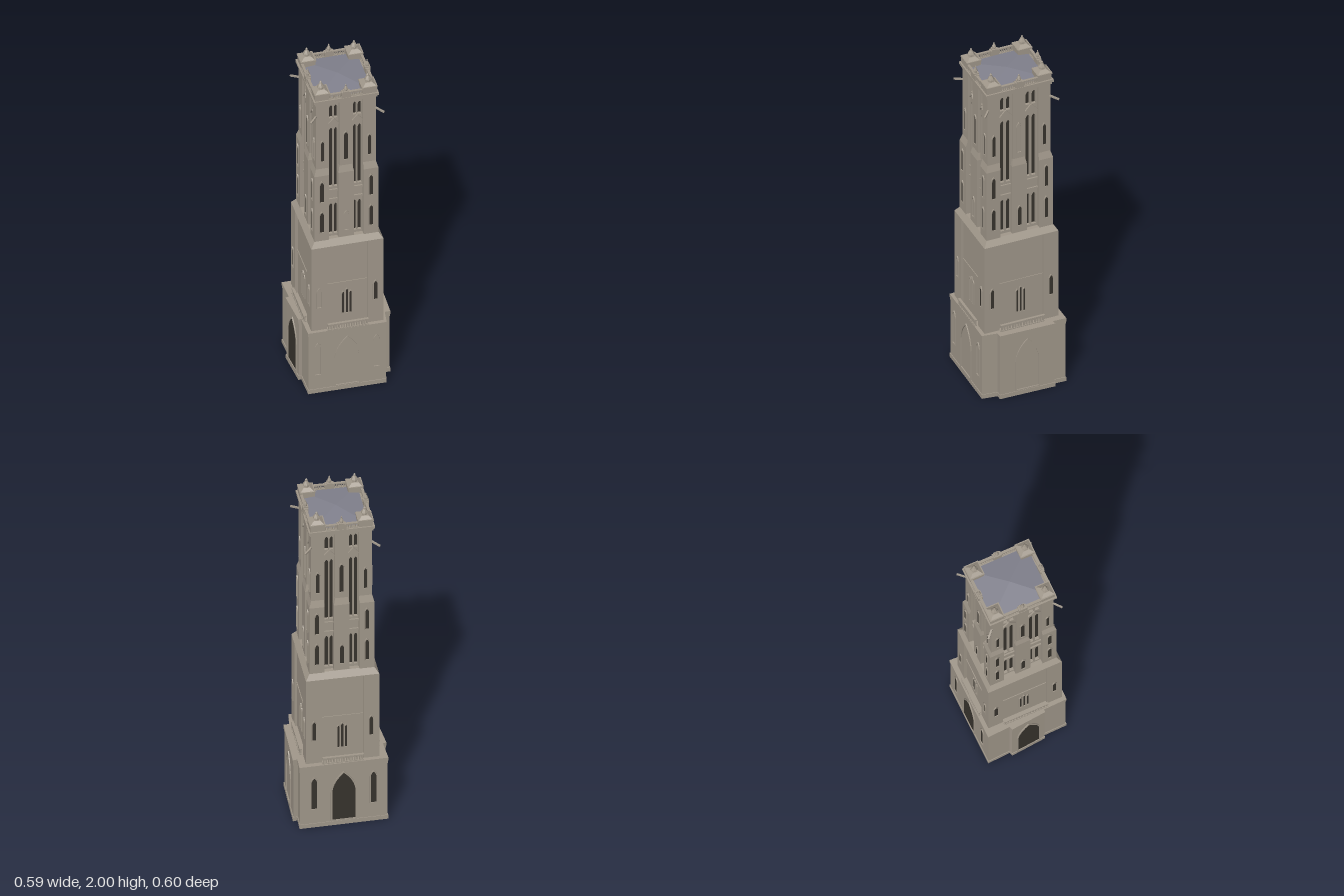
import * as THREE from 'three';

const mat = (name, color) => Object.assign(new THREE.MeshStandardMaterial({ color }), { name });
const stone = mat('stone', 0xa0978a);
const dark = mat('dark opening', 0x37332d);
const slate = mat('roof slate', 0x80808c);

function add(parent, name, geo, material = stone) {
  const m = new THREE.Mesh(geo, material);
  m.name = name;
  parent.add(m);
  return m;
}

// box centred on x, z and standing between y0 and y1
function box(parent, name, w, d, y0, y1, x = 0, z = 0, material = stone) {
  const m = add(parent, name, new THREE.BoxGeometry(w, y1 - y0, d), material);
  m.position.set(x, (y0 + y1) / 2, z);
  return m;
}

// block whose footprint [x0, x1, z0, z1] changes from b at y0 to t at y1
function taper(parent, name, b, t, y0, y1, material = stone) {
  const g = new THREE.BoxGeometry(1, 1, 1), p = g.attributes.position;
  for (let i = 0; i < p.count; i++) {
    const f = p.getY(i) > 0 ? t : b;
    p.setXYZ(i, p.getX(i) > 0 ? f[1] : f[0], p.getY(i) > 0 ? y1 : y0, p.getZ(i) > 0 ? f[3] : f[2]);
  }
  g.computeVertexNormals();
  return add(parent, name, g, material);
}

// pointed arch outline, added to a Shape or a Path
function lancet(path, x, y, w, h) {
  const r = w / 2, spring = y + h - Math.min(w * 0.95, h * 0.5);
  path.moveTo(x - r, y).lineTo(x + r, y).lineTo(x + r, spring);
  path.quadraticCurveTo(x + r * 0.9, (spring + y + h) / 2 + w * 0.08, x, y + h);
  path.quadraticCurveTo(x - r * 0.9, (spring + y + h) / 2 + w * 0.08, x - r, spring);
  path.lineTo(x - r, y);
  return path;
}

const extrude = (shape, depth) => new THREE.ExtrudeGeometry(shape, { depth, bevelEnabled: false, curveSegments: 5 });

// framed pointed window or blind arch on a wall at depth z
function archWindow(parent, name, x, y, w, h, z, open = true, rim = 0.005) {
  const frame = lancet(new THREE.Shape(), x, y - rim, w + rim * 2, h + rim * 2.5);
  frame.holes.push(lancet(new THREE.Path(), x, y, w, h));
  add(parent, name + 'Frame', extrude(frame, 0.006)).position.z = z;
  if (open) add(parent, name + 'Opening', extrude(lancet(new THREE.Shape(), x, y, w, h), 0.002), dark).position.z = z;
}

// frame for one wall: x along the wall from P to Q, z outward
function wall(parent, name, [px, pz], [qx, qz]) {
  const g = new THREE.Group();
  g.name = name;
  g.position.set((px + qx) / 2, 0, (pz + qz) / 2);
  g.rotation.y = Math.atan2(pz - qz, qx - px);
  parent.add(g);
  return g;
}

function balustrade(parent, name, x0, x1, y0, y1, z, count) {
  const mid = (x0 + x1) / 2, w = x1 - x0;
  box(parent, name + 'Rail', w, 0.014, y1 - 0.008, y1, mid, z);
  box(parent, name + 'Sill', w, 0.014, y0, y0 + 0.005, mid, z);
  for (let i = 0; i < count; i++)
    box(parent, name + 'Baluster', w / count * 0.5, 0.008, y0, y1 - 0.004, x0 + (i + 0.5) * w / count, z);
}

// six-sided finial with a collar and a bulging spire
function pinnacle(parent, x, y, z, r, h) {
  const pts = [[0.75, 0], [0.75, 0.2], [1, 0.24], [0.95, 0.34], [0.7, 0.5], [0.35, 0.7], [0.28, 0.8], [0.33, 0.84], [0, 1]]
    .map(([a, b]) => new THREE.Vector2(a * r, b * h));
  const g = new THREE.LatheGeometry(pts, 6).toNonIndexed();
  g.computeVertexNormals();
  add(parent, 'pinnacle', g).position.set(x, y, z);
}

function buildBase(root) {
  // slightly irregular plan with projecting bays on two sides
  const plan = [[-0.225, 0.236], [0.199, 0.24], [0.21, 0.155], [0.241, 0.154], [0.249, -0.16], [0.224, -0.156],
    [0.227, -0.232], [-0.248, -0.226], [-0.242, -0.1], [-0.261, -0.093], [-0.244, 0.104], [-0.228, 0.104]];
  const slab = (name, k, y0, y1) => {
    const s = new THREE.Shape(plan.map(([u, v]) => new THREE.Vector2(u * k, -v * k)));
    add(root, name, extrude(s, y1 - y0).rotateX(-Math.PI / 2)).position.y = y0;
  };
  slab('plinth', 0.998, 0, 0.025);
  slab('baseBody', 0.982, 0.025, 0.365);
  slab('baseMoulding', 0.992, 0.365, 0.38);
  slab('baseCornice', 1, 0.38, 0.4);
  const at = i => plan[i].map(c => c * 0.982);
  [[0, 1, false, true], [3, 4, false, false], [6, 7, true, true], [9, 10, true, false]].forEach(([i, j, open, sides]) => {
    const g = wall(root, 'baseWall', at(i), at(j));
    archWindow(g, 'portal', 0, 0.035, 0.125, 0.3, 0, open, 0.007);
    if (sides) for (const s of [-1, 1]) archWindow(g, 'baseLancet', s * 0.158, 0.12, 0.03, 0.2, 0, open);
  });
}

const rect = (u, v) => [-u, u, -v, v];
const T2 = [0.195, 0.211], T3 = [0.173, 0.1906], T4 = [0.162, 0.179]; // half sizes of the upper stages

// stone screen with three tiers of paired openings
function bay(g, x, w, z) {
  const s = new THREE.Shape();
  s.moveTo(x - w / 2, 0.96).lineTo(x + w / 2, 0.96).lineTo(x + w / 2, 1.88).lineTo(x - w / 2, 1.88);
  for (const k of [-1, 1]) {
    const lw = w * 0.33, lx = x + k * w * 0.22;
    for (const [y, h] of [[0.99, 0.2], [1.3, 0.39], [1.755, 0.085]]) s.holes.push(lancet(new THREE.Path(), lx, y, lw, h));
    const rake = box(g, 'gableMoulding', w * 0.75, 0.01, -0.003, 0.003, x + k * w * 0.24, z + 0.003);
    rake.position.y = 1.735;
    rake.rotation.z = -k * 0.85;
  }
  add(g, 'windowScreen', extrude(s, 0.016)).position.z = z - 0.016;
  for (const y of [1.215, 1.275]) box(g, 'bayString', w, 0.012, y, y + 0.01, x, z + 0.002);
}

function buildTower(tower) {
  // recessed cores and sloping weatherings
  box(tower, 'lowerCore', T2[0] * 2 - 0.03, T2[1] * 2 - 0.03, 0.39, 0.95);
  taper(tower, 'weathering', rect(...T2), rect(T3[0] - 0.002, T3[1] - 0.002), 0.94, 0.975);
  box(tower, 'windowBacking', T4[0] * 2 - 0.06, T4[1] * 2 - 0.06, 0.96, 1.88, 0, 0, dark);

  // corner buttresses, stepping in as they rise
  for (const sx of [-1, 1]) for (const sz of [-1, 1]) {
    const foot = ([u, v], a, b) => {
      const xs = [sx * a, sx * u].sort((p, q) => p - q), zs = [sz * b, sz * v].sort((p, q) => p - q);
      return [...xs, ...zs];
    };
    const f2 = foot(T2, 0.11, 0.126), f3 = foot(T3, 0.093, 0.1106), f4 = foot(T4, 0.093, 0.1106);
    taper(tower, 'lowerButtress', f2, f2, 0.39, 0.94);
    taper(tower, 'middleButtress', f3, f3, 0.96, 1.4);
    taper(tower, 'buttressSlope', f3, f4, 1.4, 1.44);
    taper(tower, 'upperButtress', f4, f4, 1.44, 1.88);
    // corner pedestal and finial
    const x = sx * 0.128, z = sz * 0.146;
    box(tower, 'pedestal', 0.078, 0.078, 1.89, 1.93, x, z);
    box(tower, 'pedestalCap', 0.084, 0.084, 1.928, 1.936, x, z);
    taper(tower, 'pedestalTop', [x - 0.036, x + 0.036, z - 0.036, z + 0.036], [x - 0.018, x + 0.018, z - 0.018, z + 0.018], 1.936, 1.95);
    pinnacle(tower, x, 1.945, z, 0.02, 0.055);
    // spout reaching outward from the corner
    const a = new THREE.Vector3(sx * 0.152, 1.79, sz * 0.168), b = new THREE.Vector3(sx * 0.199, 1.777, sz * 0.213);
    const spout = add(tower, 'waterSpout', new THREE.BoxGeometry(0.009, 0.009, a.distanceTo(b)));
    spout.position.copy(a).lerp(b, 0.5);
    spout.rotation.y = Math.atan2(b.x - a.x, b.z - a.z);
    spout.rotateX(0.19);
  }

  // crown
  box(tower, 'corniceMoulding', 0.338, 0.372, 1.865, 1.88);
  box(tower, 'cornice', 0.352, 0.386, 1.88, 1.895);
  const roof = new THREE.ConeGeometry(Math.SQRT2, 0.02, 4, 1, true, Math.PI / 4).toNonIndexed();
  roof.scale(0.147, 1, 0.166);
  roof.computeVertexNormals();
  add(tower, 'roof', roof, slate).position.y = 1.908;

  // four walls
  for (let i = 0; i < 4; i++) {
    const even = i % 2 === 0, w = even ? 0 : 1, d = 1 - w;
    const [u, v] = [T4[0], T4[1]];
    const c = [[-u, v], [u, v], [u, -v], [-u, -v]];
    const g = wall(tower, 'towerWall', c[i], c[(i + 1) % 4]);
    const z2 = T2[d] - T4[d], z3 = T3[d] - T4[d], half2 = T2[w] - 0.085, half = T3[w] - 0.08;

    // lower stage: window group, string course and balustrade
    for (const k of [-1, 0, 1])
      archWindow(g, 'lowerWindow', k * 0.02, 0.48, 0.012, k ? 0.14 : 0.155, z2 - 0.015, true, 0.004);
    box(g, 'stringCourse', half2 * 2, 0.006, 0.68, 0.686, 0, z2 - 0.014);
    balustrade(g, 'terrace', -half2, half2, 0.4, 0.438, z2 + 0.012, 16);

    // buttress lancets
    for (const s of [-1, 1]) {
      archWindow(g, 'buttressWindow', s * (T2[w] - 0.043), 0.55, 0.02, 0.12, z2, i > 0 || s > 0);
      for (const y of [1.03, 1.23]) archWindow(g, 'buttressWindow', s * (T3[w] - 0.04), y, 0.02, 0.13, z3);
      archWindow(g, 'buttressWindow', s * (T4[w] - 0.035), 1.49, 0.018, 0.13, 0);
    }

    // central pier between two tall bays
    const zl = z3 - 0.004, zu = -0.002, back = -0.035;
    taper(g, 'lowerPier', [-0.042, 0.042, back, zl], [-0.042, 0.042, back, zl], 0.96, 1.4);
    taper(g, 'pierSlope', [-0.042, 0.042, back, zl], [-0.034, 0.034, back, zu], 1.4, 1.44);
    taper(g, 'upperPier', [-0.034, 0.034, back, zu], [-0.034, 0.034, back, zu], 1.44, 1.88);
    archWindow(g, 'pierWindow', 0, 1.02, 0.022, 0.12, zl, i > 0);
    archWindow(g, 'pierWindow', 0, 1.48, 0.022, 0.18, zu, i !== 1);
    for (const s of [-1, 1]) bay(g, s * (half + 0.036) / 2, half - 0.034, -0.014);

    // parapet with a small pinnacle at its middle
    const end = [0.128, 0.146][w] - 0.039, zp = -0.001;
    for (const s of [-1, 1])
      balustrade(g, 'parapet', s > 0 ? 0.024 : -end, s > 0 ? end : -0.024, 1.893, 1.925, zp, 7);
    box(g, 'middlePedestal', 0.048, 0.026, 1.89, 1.928, 0, zp);
    box(g, 'middlePedestalCap', 0.028, 0.03, 1.926, 1.934, 0, zp);
    pinnacle(g, 0, 1.932, zp, 0.012, 0.045);
  }
}

export function createModel() {
  const root = new THREE.Group();
  root.name = 'tower';
  const plan = new THREE.Group();
  plan.name = 'turnedPlan';
  plan.rotation.y = -21 * Math.PI / 180;
  root.add(plan);
  buildBase(plan);
  const upper = new THREE.Group();
  upper.name = 'upperStages';
  upper.position.set(-0.008, 0, 0.007);
  plan.add(upper);
  buildTower(upper);
  return root;
}
